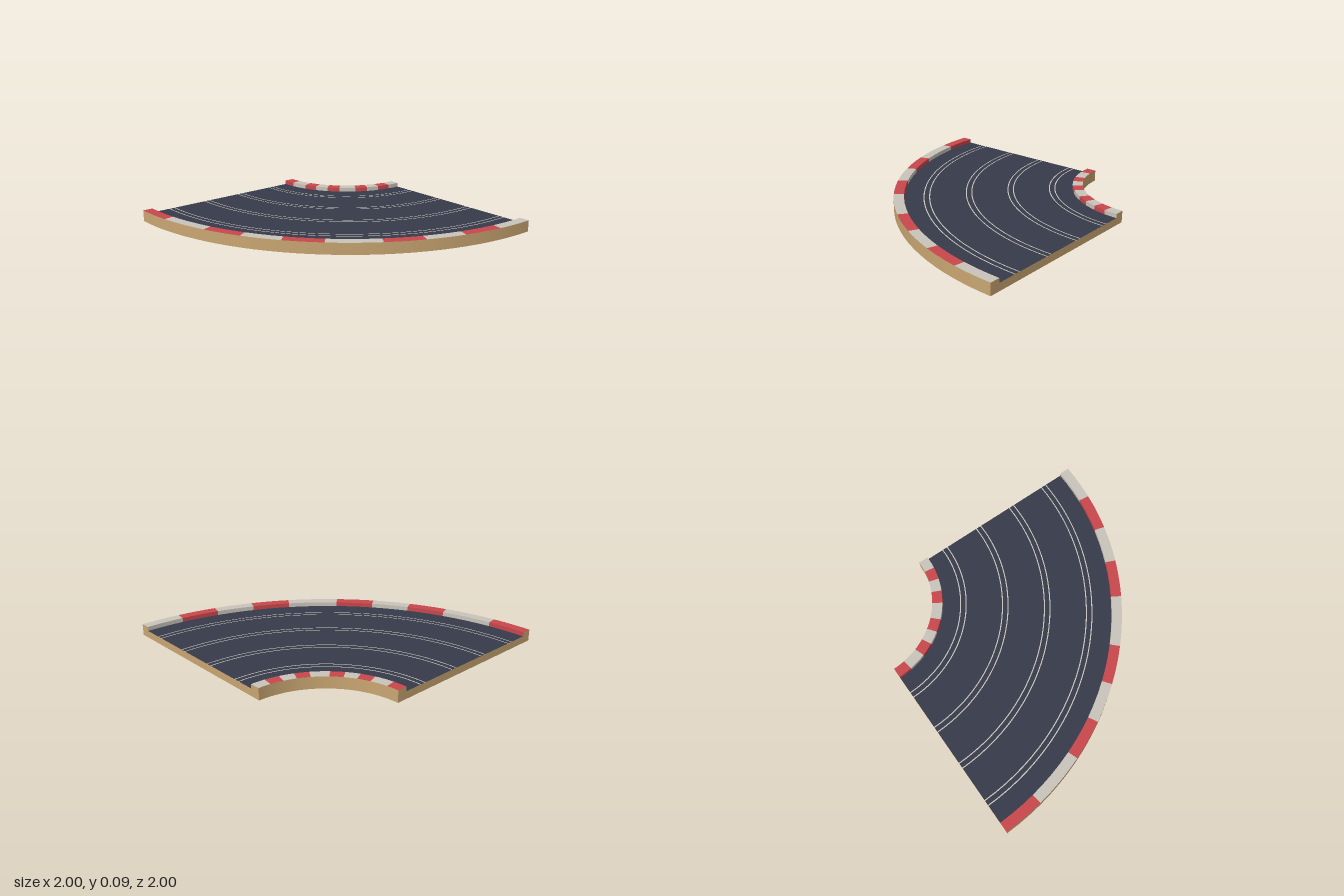
import * as THREE from 'three';
import { mergeGeometries } from 'three/addons/utils/BufferGeometryUtils.js';

const STEPS = 32;                       // facets along the quarter turn
const R_IN = 0.6, R_OUT = 2, KERB = 0.075;
const ROAD_Y = 0.054, TOP_Y = 0.085;
const ROAD_IN = R_IN + KERB, ROAD_OUT = R_OUT - KERB;

const material = (name, color) => {
  const m = new THREE.MeshStandardMaterial({ color });
  m.name = name;
  return m;
};

// One swept face between two (radius, height) points, over a range of facets.
// Going up faces outward, going down faces the hub, going inward faces up.
function sweep(r0, y0, r1, y1, from = 0, to = STEPS) {
  const step = Math.PI / 2 / STEPS;
  return new THREE.LatheGeometry(
    [new THREE.Vector2(r0, y0), new THREE.Vector2(r1, y1)],
    to - from, Math.PI * 1.5 + from * step, (to - from) * step);
}

// Cut end of the track: a flat base with a raised kerb on each side.
function endFace(sign, turn) {
  const profile = [
    [R_IN, 0], [R_OUT, 0], [R_OUT, TOP_Y], [ROAD_OUT, TOP_Y],
    [ROAD_OUT, ROAD_Y], [ROAD_IN, ROAD_Y], [ROAD_IN, TOP_Y], [R_IN, TOP_Y],
  ].map(([r, y]) => new THREE.Vector2(sign * r, y));
  return new THREE.ShapeGeometry(new THREE.Shape(profile)).rotateY(turn);
}

export function createModel() {
  const wood = material('wood', 0xc9a672);
  const asphalt = material('asphalt', 0x353a4a);
  const red = material('kerb red', 0xc8474c);
  const white = material('off white', 0xc9c4ba);

  const model = new THREE.Group();
  model.name = 'curvedTrack';
  const add = (name, parts, mat) => {
    const mesh = new THREE.Mesh(mergeGeometries(parts), mat);
    mesh.name = name;
    mesh.position.set(1, 0, -1);        // hub of the curve
    model.add(mesh);
  };

  // Wooden body: outer wall, inner wall, underside and both cut ends
  add('outerWall', [sweep(R_OUT, 0, R_OUT, TOP_Y)], wood);
  add('innerWall', [sweep(R_IN, TOP_Y, R_IN, 0)], wood);
  add('underside', [sweep(R_IN, 0, R_OUT, 0)], wood);
  add('backEnd', [endFace(1, Math.PI)], wood);
  add('sideEnd', [endFace(-1, Math.PI / 2)], wood);

  // Road surface, divided by four pairs of thin lane lines
  const road = [], lines = [];
  let r = ROAD_IN;
  for (const lane of [0.828, 1.139, 1.45, 1.761]) {
    for (const edge of [lane - 0.0205, lane + 0.0205]) {
      const a = edge - 0.004, b = edge + 0.004;
      road.push(sweep(a, ROAD_Y, r, ROAD_Y));
      lines.push(sweep(b, ROAD_Y, a, ROAD_Y));
      r = b;
    }
  }
  road.push(sweep(ROAD_OUT, ROAD_Y, r, ROAD_Y));
  add('road', road, asphalt);
  add('laneLines', lines, white);

  // Kerbs: alternating blocks, painted on top and on the road-facing side
  const cuts = [0, 3, 7, 10, 13, 16, 20, 23, 26, 29, STEPS];
  const inner = [[], []], outer = [[], []];
  for (let i = 0; i < cuts.length - 1; i++) {
    const a = cuts[i], b = cuts[i + 1];
    inner[i % 2].push(
      sweep(ROAD_IN, TOP_Y, R_IN, TOP_Y, a, b),
      sweep(ROAD_IN, ROAD_Y, ROAD_IN, TOP_Y, a, b));
    outer[i % 2].push(
      sweep(R_OUT, TOP_Y, ROAD_OUT, TOP_Y, a, b),
      sweep(ROAD_OUT, TOP_Y, ROAD_OUT, ROAD_Y, a, b));
  }
  [red, white].forEach((mat, i) => {
    const tone = i ? 'White' : 'Red';
    add('innerKerb' + tone, inner[i], mat);
    add('outerKerb' + tone, outer[i], mat);
  });

  return model;
}
